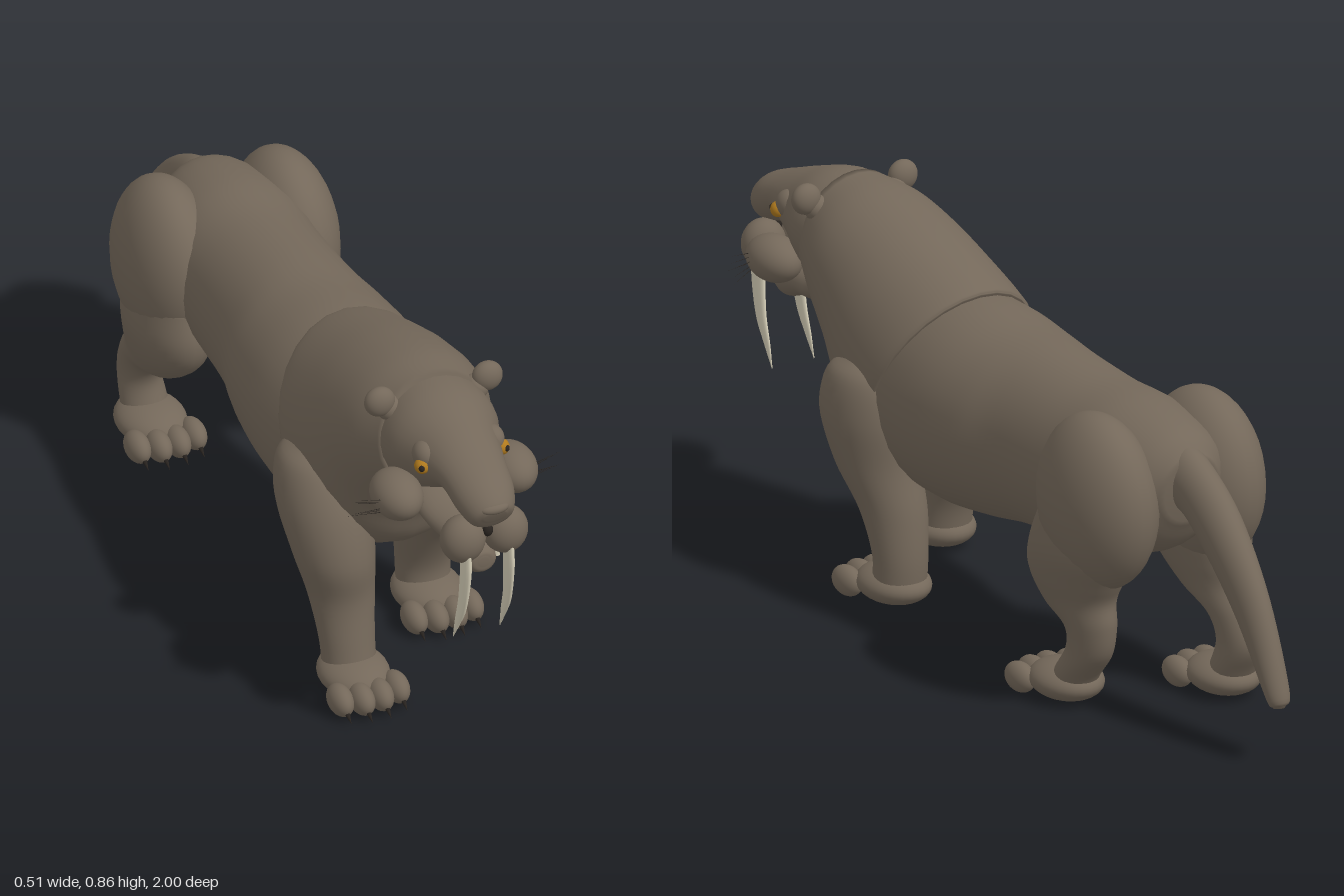
import * as THREE from 'three';

const mat = (name, color) => Object.assign(new THREE.MeshStandardMaterial({ color }), { name });

// Side-profile loft. Each row: [z1, y1, z2, y2, halfWidth, x] gives two opposite
// points of an oval ring and its half width; rows are joined smoothly.
function loft(rows, steps = 6, sides = 28) {
  const curve = (f) => new THREE.CatmullRomCurve3(rows.map(f), false, 'catmullrom', 0.5);
  const a = curve((r) => new THREE.Vector3(r[5] || 0, r[1], r[0]));
  const b = curve((r) => new THREE.Vector3(r[5] || 0, r[3], r[2]));
  const w = curve((r) => new THREE.Vector3(r[4], 0, 0));
  const n = (rows.length - 1) * steps;
  const pos = [], idx = [];
  for (let i = 0; i <= n; i++) {
    const p = a.getPoint(i / n), q = b.getPoint(i / n), hw = Math.max(w.getPoint(i / n).x, 0.0005);
    const mid = p.clone().add(q).multiplyScalar(0.5), half = p.sub(q).multiplyScalar(0.5);
    for (let j = 0; j < sides; j++) {
      const t = (j / sides) * Math.PI * 2;
      const v = mid.clone().addScaledVector(half, Math.cos(t));
      pos.push(v.x + Math.sin(t) * hw, v.y, v.z);
      if (i < n) {
        const k = i * sides, j2 = (j + 1) % sides;
        idx.push(k + j, k + j2, k + sides + j, k + j2, k + sides + j2, k + sides + j);
      }
    }
  }
  // end caps
  for (const [row, first] of [[0, true], [n, false]]) {
    const c = a.getPoint(row / n).add(b.getPoint(row / n)).multiplyScalar(0.5), ci = pos.length / 3;
    pos.push(c.x, c.y, c.z);
    for (let j = 0; j < sides; j++) {
      const u = row * sides + j, v = row * sides + ((j + 1) % sides);
      idx.push(...(first ? [ci, v, u] : [ci, u, v]));
    }
  }
  // keep faces outward whichever way the rows run
  let volume = 0;
  const P = (i) => new THREE.Vector3().fromArray(pos, i * 3);
  for (let i = 0; i < idx.length; i += 3) volume += P(idx[i]).dot(P(idx[i + 1]).cross(P(idx[i + 2])));
  if (volume < 0) idx.reverse();
  const g = new THREE.BufferGeometry();
  g.setAttribute('position', new THREE.Float32BufferAttribute(pos, 3));
  g.setIndex(idx);
  g.computeVertexNormals();
  return g;
}

export function createModel() {
  const model = new THREE.Group();
  const fur = mat('fur', 0x74685a), ivory = mat('ivory', 0xd6cfb8), amber = mat('amber', 0xb07a1e);
  const dark = mat('dark', 0x28231f);

  const add = (name, geo, m = fur) => {
    const mesh = new THREE.Mesh(geo, m);
    mesh.name = name;
    model.add(mesh);
    return mesh;
  };
  const ball = (name, x, y, z, rx, ry, rz, m = fur) => {
    const mesh = add(name, new THREE.SphereGeometry(1, 28, 20), m);
    mesh.position.set(x, y, z);
    mesh.scale.set(rx, ry, rz);
    return mesh;
  };
  const spike = (name, from, to, r, m) => {
    const a = new THREE.Vector3(...from), d = new THREE.Vector3(...to).sub(a);
    const mesh = add(name, new THREE.ConeGeometry(r, d.length(), 8), m);
    mesh.position.copy(a).addScaledVector(d, 0.5);
    mesh.quaternion.setFromUnitVectors(new THREE.Vector3(0, 1, 0), d.normalize());
  };

  // trunk, neck and tail
  add('torso', loft([
    [0.46, 0.66, 0.46, 0.32, 0.12], [0.34, 0.71, 0.34, 0.265, 0.185], [0.16, 0.72, 0.18, 0.245, 0.21],
    [0, 0.705, 0, 0.265, 0.2], [-0.12, 0.7, -0.12, 0.285, 0.177], [-0.3, 0.69, -0.3, 0.3, 0.17],
    [-0.45, 0.69, -0.45, 0.33, 0.17], [-0.59, 0.66, -0.57, 0.38, 0.13], [-0.65, 0.61, -0.63, 0.46, 0.07]]));
  add('neck', loft([
    [0.165, 0.725, 0.4, 0.29, 0.2], [0.18, 0.74, 0.45, 0.3, 0.207], [0.28, 0.78, 0.535, 0.365, 0.2],
    [0.41, 0.825, 0.575, 0.45, 0.185], [0.54, 0.855, 0.63, 0.525, 0.165], [0.65, 0.86, 0.695, 0.575, 0.13]]));
  add('tail', loft([
    [-0.57, 0.64, -0.57, 0.46, 0.06], [-0.66, 0.62, -0.64, 0.48, 0.05], [-0.785, 0.535, -0.745, 0.4, 0.047],
    [-0.91, 0.375, -0.845, 0.29, 0.037], [-0.992, 0.18, -0.945, 0.155, 0.028], [-0.99, 0.14, -0.96, 0.133, 0.012]]));

  // head, snout and jaw
  add('head', loft([
    [0.58, 0.85, 0.62, 0.56, 0.13], [0.7, 0.85, 0.7, 0.6, 0.13], [0.8, 0.82, 0.76, 0.635, 0.1],
    [0.88, 0.79, 0.84, 0.68, 0.078], [0.95, 0.762, 0.91, 0.66, 0.068], [0.99, 0.73, 0.955, 0.65, 0.05],
    [0.995, 0.71, 0.98, 0.68, 0.025]]));
  add('lowerJaw', loft([
    [0.66, 0.66, 0.65, 0.56, 0.08], [0.74, 0.605, 0.74, 0.53, 0.068], [0.82, 0.585, 0.82, 0.515, 0.048],
    [0.88, 0.585, 0.88, 0.495, 0.045], [0.92, 0.565, 0.92, 0.51, 0.03], [0.927, 0.55, 0.927, 0.53, 0.01]]));
  ball('nose', 0, 0.715, 0.982, 0.034, 0.014, 0.018);
  ball('mouthHollow', 0, 0.635, 0.945, 0.012, 0.016, 0.012, dark);

  for (const s of [1, -1]) {
    ball('muzzlePad', s * 0.05, 0.613, 0.925, 0.051, 0.056, 0.046);
    ball('cheek', s * 0.135, 0.65, 0.76, 0.056, 0.052, 0.075);
    ball('brow', s * 0.078, 0.755, 0.785, 0.028, 0.032, 0.035);
    ball('eye', s * 0.094, 0.74, 0.805, 0.017, 0.018, 0.018, amber);
    ball('pupil', s * 0.1, 0.742, 0.817, 0.007, 0.008, 0.008, dark);
    ball('ear', s * 0.127, 0.821, 0.65, 0.035, 0.035, 0.026);
    ball('earBase', s * 0.1, 0.795, 0.645, 0.03, 0.03, 0.03);

    // teeth
    add('fang', loft([
      [0.965, 0.595, 0.92, 0.595, 0.009, s * 0.05], [0.967, 0.53, 0.92, 0.53, 0.0095, s * 0.051],
      [0.948, 0.44, 0.912, 0.45, 0.007, s * 0.053], [0.915, 0.38, 0.895, 0.388, 0.004, s * 0.054],
      [0.885, 0.333, 0.884, 0.335, 0.001, s * 0.055]], 5, 14), ivory);
    spike('lowerTooth', [s * 0.036, 0.54, 0.91], [s * 0.038, 0.585, 0.918], 0.008, ivory);

    // whiskers
    for (let i = 0; i < 6; i++) {
      const y = 0.615 + i * 0.011;
      spike('whisker', [s * 0.16, 0.63 + i * 0.006, 0.79], [s * (0.25 - (i % 2) * 0.01), y, 0.75 + (i % 3) * 0.014], 0.0012, dark);
    }
  }

  // four-toed paw; tip is the z of the toe ends
  const paw = (x, tip) => {
    ball('pawPad', x, 0.047, tip - 0.145, 0.078, 0.043, 0.095);
    for (let i = 0; i < 4; i++) {
      const off = (i - 1.5) * 0.044, z = tip - 0.05 - (i % 3 === 0 ? 0.014 : 0);
      ball('toe', x + off, 0.038, z, 0.027, 0.034, 0.046);
      spike('claw', [x + off, 0.028, z + 0.036], [x + off, 0.012, z + 0.062], 0.007, dark);
    }
  };
  // swing the lower part of a leg by dz, easing in from the height top
  const swing = (rows, top, dz, s) => rows.map(([z1, y1, z2, y2, w, x]) => {
    const f = (y) => dz * THREE.MathUtils.clamp((top - y) / (top - 0.1), 0, 1);
    return [z1 + f(y1), y1, z2 + f(y2), y2, w, s * x];
  });
  const foreleg = [
    [0.41, 0.555, 0.34, 0.56, 0.03, 0.165], [0.465, 0.52, 0.28, 0.52, 0.075, 0.165],
    [0.49, 0.43, 0.25, 0.43, 0.1, 0.155], [0.45, 0.32, 0.245, 0.32, 0.09, 0.148],
    [0.38, 0.22, 0.225, 0.22, 0.074, 0.137], [0.335, 0.12, 0.215, 0.12, 0.062, 0.137],
    [0.34, 0.04, 0.22, 0.035, 0.06, 0.137]];
  const hindLeg = [
    [-0.32, 0.46, -0.6, 0.44, 0.08, 0.15], [-0.285, 0.37, -0.59, 0.37, 0.09, 0.15],
    [-0.275, 0.3, -0.56, 0.31, 0.08, 0.15], [-0.325, 0.23, -0.54, 0.265, 0.062, 0.15],
    [-0.4, 0.19, -0.545, 0.21, 0.05, 0.15], [-0.405, 0.14, -0.53, 0.14, 0.046, 0.15],
    [-0.37, 0.08, -0.475, 0.075, 0.052, 0.15], [-0.35, 0.035, -0.45, 0.03, 0.05, 0.15]];

  // legs in mid stride: right fore leg and left hind leg lead
  for (const s of [1, -1]) {
    add('foreleg', loft(swing(foreleg, 0.48, s > 0 ? 0 : 0.23, s)));
    paw(s * 0.137, s > 0 ? 0.445 : 0.675);
    ball('haunch', s * 0.14, 0.492, -0.485, 0.11, 0.2, 0.175);
    add('hindLeg', loft(swing(hindLeg, 0.4, s > 0 ? 0 : -0.16, s)));
    paw(s * 0.15, s > 0 ? -0.235 : -0.4);
  }
  return model;
}
